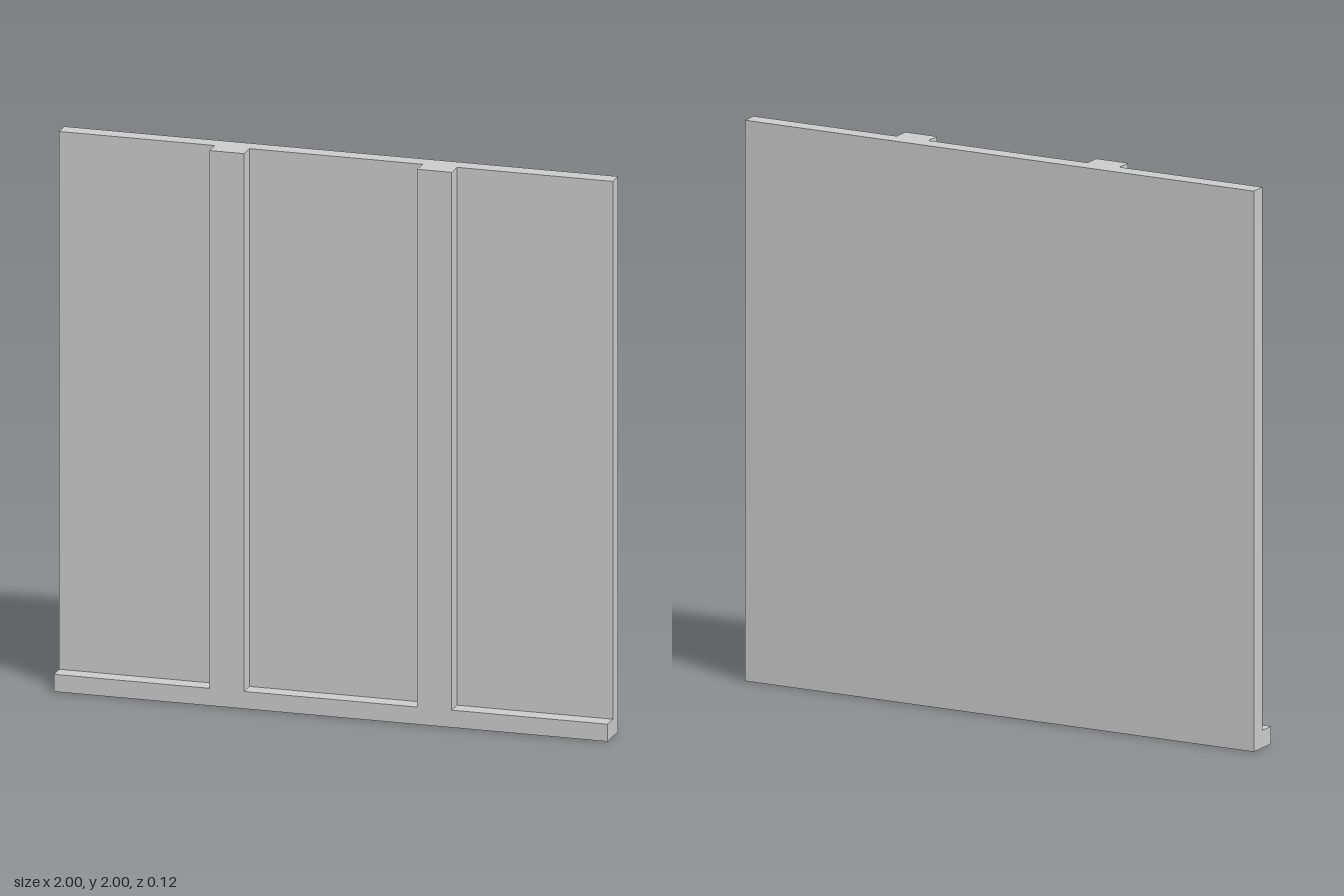
import * as THREE from 'three';

export function createModel() {
  const group = new THREE.Group();
  const material = new THREE.MeshStandardMaterial({ color: 0xcccccc, flatShading: true });
  const height = 2, half = 1, depth = 0.0625;
  const sill = 0.0625, inner = 0.3125, outer = 0.4375;

  // Flat wall panel forming the back half of the thickness
  const panel = new THREE.Mesh(new THREE.BoxGeometry(2 * half, height, depth), material);
  panel.name = 'wallPanel';
  panel.position.set(0, height / 2, -depth / 2);
  group.add(panel);

  // Raised trim: bottom rail and two upright battens in one outline
  const outline = new THREE.Shape([
    [-half, 0], [half, 0], [half, sill],
    [outer, sill], [outer, height], [inner, height], [inner, sill],
    [-inner, sill], [-inner, height], [-outer, height], [-outer, sill],
    [-half, sill],
  ].map(([x, y]) => new THREE.Vector2(x, y)));
  const trim = new THREE.Mesh(
    new THREE.ExtrudeGeometry(outline, { depth, bevelEnabled: false }), material);
  trim.name = 'railAndBattens';
  group.add(trim);

  return group;
}
